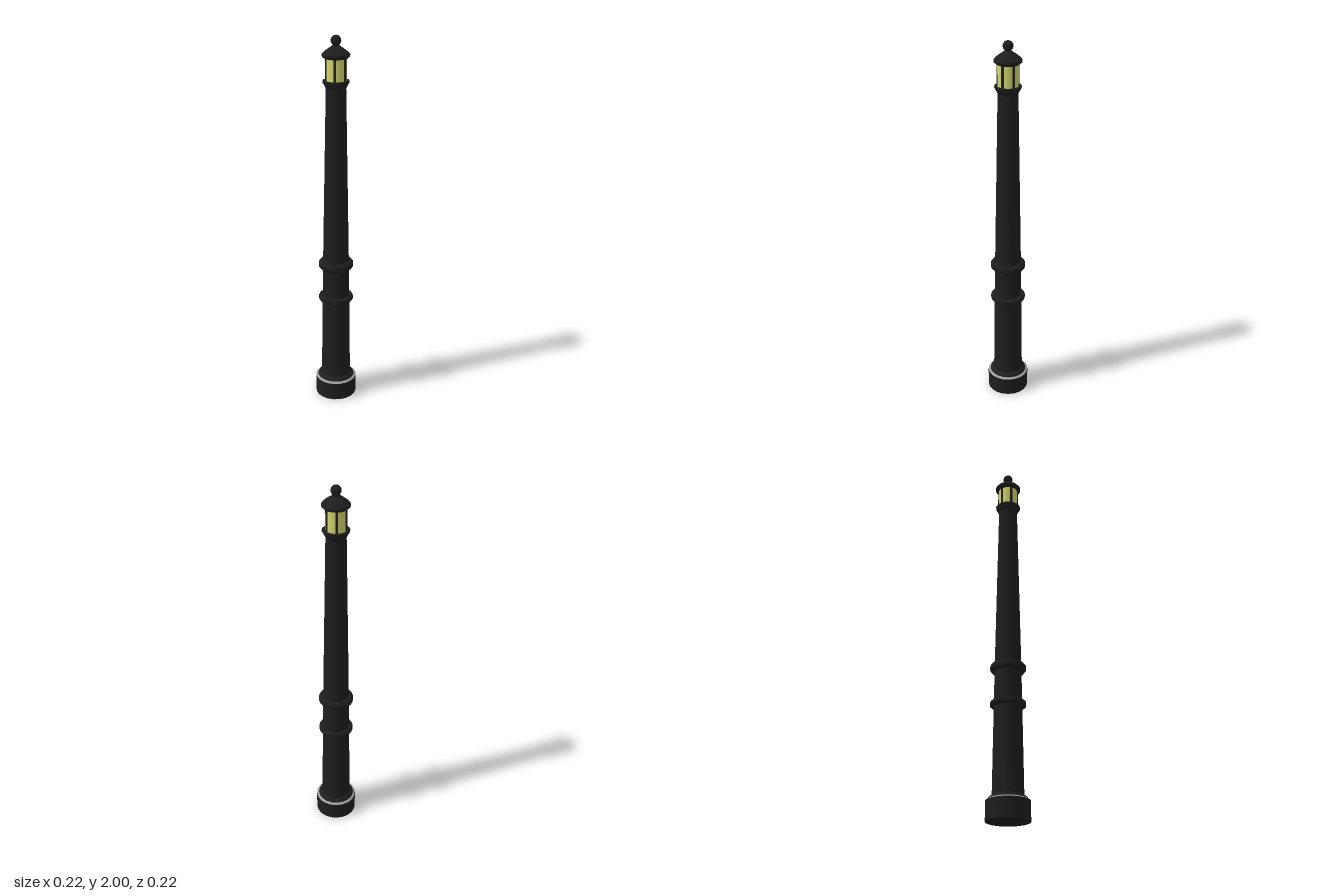
import * as THREE from 'three';
import { toCreasedNormals } from 'three/addons/utils/BufferGeometryUtils.js';

const SIDES = 20;
const iron = new THREE.MeshStandardMaterial({ color: 0x1e1e1e });
const trim = new THREE.MeshStandardMaterial({ color: 0x9a9a9a, side: THREE.DoubleSide });
const glass = new THREE.MeshStandardMaterial({ color: 0xd6d66e });

export function createModel() {
  const group = new THREE.Group();

  const add = (name, geometry, material = iron) => {
    const mesh = new THREE.Mesh(geometry, material);
    mesh.name = name;
    group.add(mesh);
    return mesh;
  };

  // Turned part from [radius, height] pairs, listed bottom to top
  const turned = (name, profile, material) => {
    const points = profile.map(([r, y]) => new THREE.Vector2(r, y));
    return add(name, toCreasedNormals(new THREE.LatheGeometry(points, SIDES), 0.6), material);
  };

  // Base drum, its pale bevelled rim and the sloping foot of the post
  turned('base', [[0, 0], [0.112, 0], [0.112, 0.1]]);
  turned('baseRim', [[0.112, 0.1], [0.1, 0.108]], trim);
  turned('foot', [[0.1, 0.108], [0.096, 0.116], [0.08, 0.127]]);

  // Tapering post
  turned('post', [[0.08, 0.12], [0.073, 0.59], [0.07, 0.79], [0.051, 1.75]]);

  // Rounded bands around the post
  for (const [name, y, h] of [['lowerBand', 0.592, 0.017], ['upperBand', 0.789, 0.022]]) {
    turned(name, [
      [0.068, y - h], [0.083, y - h], [0.093, y - h * 0.45],
      [0.093, y + h * 0.45], [0.083, y + h], [0.068, y + h],
    ]);
  }

  // Flared collar carrying the lantern
  turned('collar', [[0.051, 1.74], [0.057, 1.752], [0.068, 1.772], [0.068, 1.779], [0, 1.779]]);

  // Lantern glass with six upright bars
  const lantern = add('lanternGlass', new THREE.CylinderGeometry(0.053, 0.053, 0.115, SIDES, 1, true), glass);
  lantern.position.y = 1.834;
  for (let i = 0; i < 6; i++) {
    const a = (i * Math.PI) / 3;
    const bar = add('lanternBar', new THREE.BoxGeometry(0.013, 0.115, 0.008));
    bar.position.set(Math.sin(a) * 0.052, 1.834, Math.cos(a) * 0.052);
    bar.rotation.y = a;
  }

  // Bell-shaped roof and ball finial
  turned('roof', [
    [0, 1.887], [0.058, 1.887], [0.07, 1.898], [0.07, 1.908], [0.058, 1.921],
    [0.038, 1.936], [0.022, 1.946], [0.014, 1.955], [0.012, 1.965],
  ]);
  const finial = add('finial', new THREE.SphereGeometry(0.026, SIDES, 14));
  finial.position.y = 1.974;

  return group;
}
